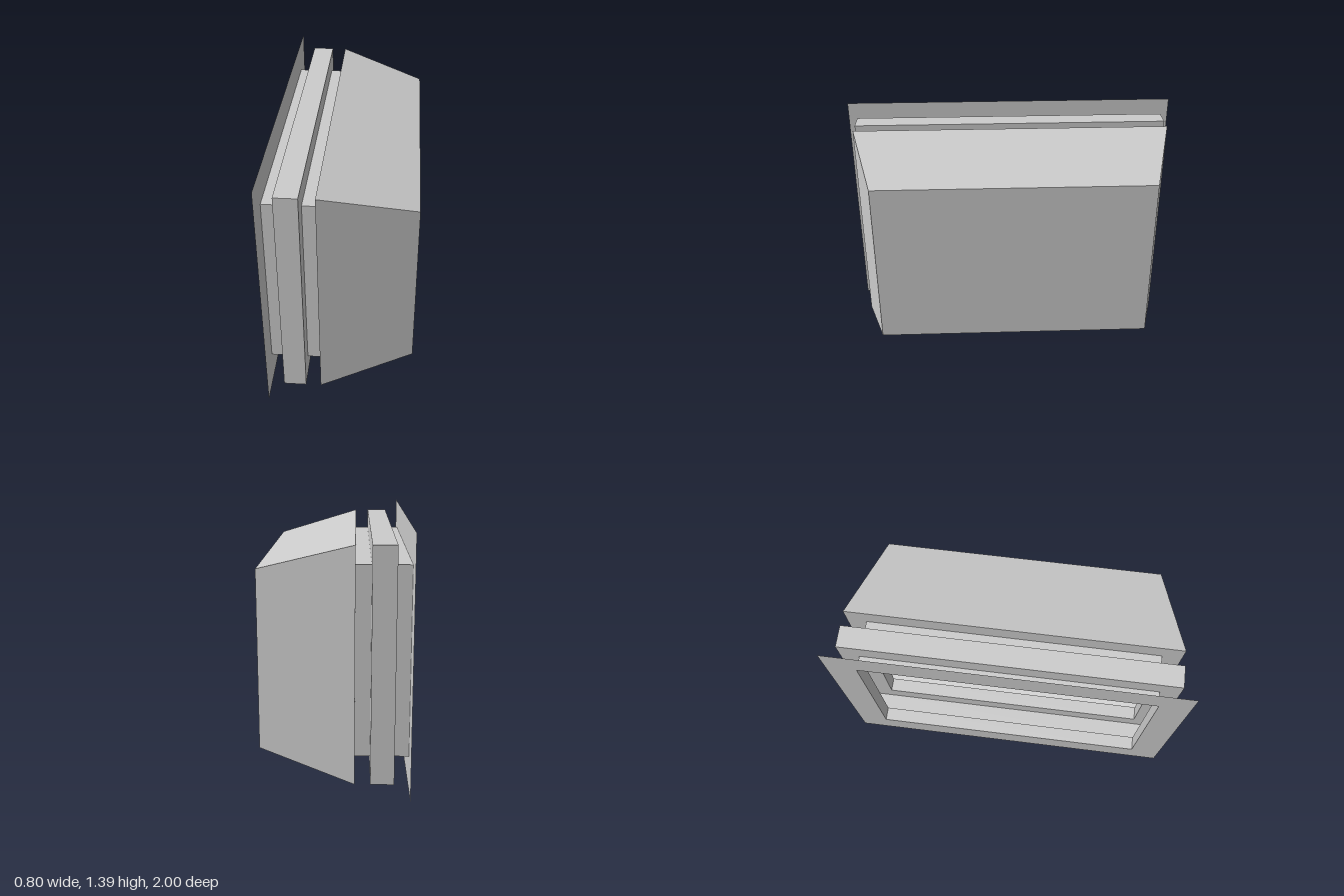
import * as THREE from 'three';

const CENTRE_Y = 0.695;

// Rectangular cross-sections from back to cap: [x, half height, half depth]
const flangeEdge = [-0.4, 0.695, 1.0];
const neck = (x) => [x, 0.515, 0.825];
const rim = (x) => [x, 0.628, 0.935];
const cap = [0.4, 0.486, 0.795];

const PARTS = {
  backFlange: [flangeEdge, neck(-0.4)],
  rearNeck: [neck(-0.4), neck(-0.318)],
  rib: [neck(-0.318), rim(-0.318), rim(-0.193), neck(-0.193)],
  frontNeck: [neck(-0.193), neck(-0.11)],
  taperedHood: [neck(-0.11), rim(-0.11), cap, [0.4, 0, 0]],
};

// Four corners of a section, counter-clockwise seen from +x
function corners([x, h, d]) {
  return [[1, -1], [1, 1], [-1, 1], [-1, -1]].map(([sy, sz]) => [x, CENTRE_Y + sy * h, sz * d]);
}

// Thin faceted sheet through successive sections; a zero-size section closes it
function loft(sections) {
  const positions = [];
  for (let s = 0; s < sections.length - 1; s++) {
    const a = corners(sections[s]);
    const b = corners(sections[s + 1]);
    const closing = sections[s + 1][1] === 0;
    for (let i = 0; i < 4; i++) {
      const j = (i + 1) % 4;
      positions.push(...a[i], ...a[j], ...b[j]);
      if (!closing) positions.push(...a[i], ...b[j], ...b[i]);
    }
  }
  const geometry = new THREE.BufferGeometry();
  geometry.setAttribute('position', new THREE.Float32BufferAttribute(positions, 3));
  geometry.computeVertexNormals();
  return geometry;
}

export function createModel() {
  const group = new THREE.Group();
  group.name = 'steppedHousing';
  const material = new THREE.MeshStandardMaterial({
    color: 0xcccccc,
    flatShading: true,
    side: THREE.DoubleSide,
  });
  for (const [name, sections] of Object.entries(PARTS)) {
    const mesh = new THREE.Mesh(loft(sections), material);
    mesh.name = name;
    group.add(mesh);
  }
  return group;
}
